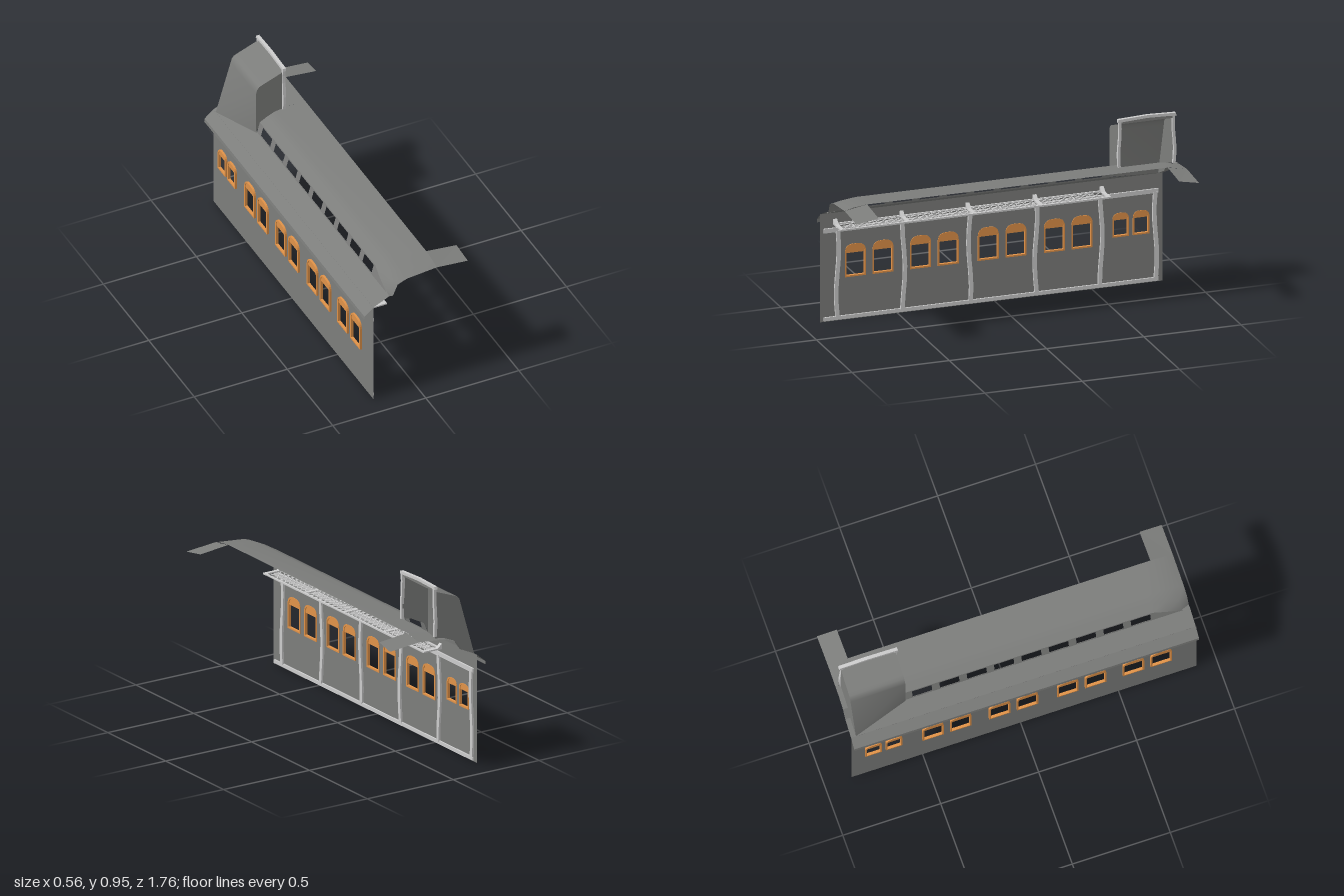
import * as THREE from 'three';
import { mergeVertices } from 'three/addons/utils/BufferGeometryUtils.js';

const trim = new THREE.MeshStandardMaterial({ color: 0xcccccc, side: THREE.DoubleSide });
const panel = new THREE.MeshStandardMaterial({ color: 0x7c7d7b, side: THREE.DoubleSide });
const wood = new THREE.MeshStandardMaterial({ color: 0xe09248, side: THREE.DoubleSide });

// Thin sheet lofted through rows of [x, y, z] points
function sheet(rows, smooth = false) {
  const pos = [];
  for (let i = 0; i + 1 < rows.length; i++) {
    for (let j = 0; j + 1 < rows[i].length; j++) {
      const a = rows[i][j], b = rows[i][j + 1], c = rows[i + 1][j + 1], d = rows[i + 1][j];
      pos.push(...a, ...d, ...b, ...b, ...d, ...c);
    }
  }
  let g = new THREE.BufferGeometry();
  g.setAttribute('position', new THREE.Float32BufferAttribute(pos, 3));
  if (smooth) g = mergeVertices(g);
  g.computeVertexNormals();
  return g;
}
const at = (profile, z) => profile.map(([x, y]) => [x, y, z]);
const poly = (pts) => new THREE.Shape(pts.map(([x, y]) => new THREE.Vector2(x, y)));

// Shape drawn in (z, y), extruded from x toward -x (depth 0 gives a flat sheet)
function sidePanel(shape, x, depth) {
  const g = depth
    ? new THREE.ExtrudeGeometry(shape, { depth, bevelEnabled: false, curveSegments: 6 })
    : new THREE.ShapeGeometry(shape, 6);
  return g.rotateY(-Math.PI / 2).translate(x, 0, 0);
}

// Rounded-top window outline in (z, y)
function arch(z0, z1, y0, y1, Type = THREE.Shape) {
  const s = new Type(), r = (z1 - z0) * 0.42;
  s.moveTo(z0, y0);
  s.lineTo(z1, y0);
  s.lineTo(z1, y1 - r);
  s.quadraticCurveTo(z1, y1, z1 - r, y1);
  s.lineTo(z0 + r, y1);
  s.quadraticCurveTo(z0, y1, z0, y1 - r);
  s.lineTo(z0, y0);
  return s;
}

// Slightly wavy upright in (z, y)
function crooked(zc, y0, y1, w, amp, phase) {
  const left = [], right = [];
  for (let i = 0; i <= 6; i++) {
    const t = i / 6, z = zc + amp * Math.sin(phase + t * 6), y = y0 + (y1 - y0) * t;
    left.push([z - w / 2, y]);
    right.unshift([z + w / 2, y]);
  }
  return poly([...left, ...right]);
}

export function createModel() {
  const model = new THREE.Group();
  const add = (name, geo, mat) => {
    const m = new THREE.Mesh(geo, mat);
    m.name = name;
    model.add(m);
  };
  const bar = (name, x0, x1, y0, y1, z0, z1) =>
    add(name, new THREE.BoxGeometry(x1 - x0, y1 - y0, z1 - z0)
      .translate((x0 + x1) / 2, (y0 + y1) / 2, (z0 + z1) / 2), trim);

  // Side wall with window openings, reaching up to the lower roof
  const windows = [];
  for (const z of [0.645, 0.31, -0.038, -0.378])
    windows.push([z + 0.017, z + 0.125, 0.222, 0.39], [z - 0.125, z - 0.017, 0.222, 0.39]);
  windows.push([-0.69, -0.605, 0.257, 0.38], [-0.795, -0.71, 0.257, 0.38]);
  const wall = poly([[-0.862, 0.006], [0.898, 0.006], [0.898, 0.56], [-0.862, 0.56]]);
  for (const w of windows) wall.holes.push(arch(...w, THREE.Path));
  add('sideWall', sidePanel(wall, -0.231, 0), panel);

  // Window frames with solid arched heads
  for (const [z0, z1, y0, y1] of windows) {
    const frame = arch(z0, z1, y0, y1);
    frame.holes.push(arch(z0 + 0.008, z1 - 0.008, y0 + 0.008, y1 - 0.008, THREE.Path));
    add('windowFrame', sidePanel(frame, -0.228, 0.014), wood);
    const r = (z1 - z0) * 0.42;
    add('windowHead', sidePanel(arch(z0, z1, y1 - r - 0.001, y1), -0.232, 0.006), wood);
  }

  // Wall rails and slightly crooked pillars
  bar('bottomRail', -0.2295, -0.221, 0.012, 0.03, -0.84, 0.88);
  bar('topRail', -0.2295, -0.221, 0.462, 0.484, -0.84, 0.88);
  [0.81, 0.47, 0.13, -0.21, -0.545, -0.825].forEach((z, i) =>
    add('pillar', sidePanel(crooked(z, 0.025, 0.468, 0.02, 0.007, i * 1.9), -0.219, 0.0105), trim));

  // Luggage racks: brackets, rails and lattice
  const bracket = [[-0.24, 0.5], [-0.125, 0.5], [-0.125, 0.507], [-0.205, 0.507], [-0.24, 0.535]];
  for (const z of [0.82, 0.48, 0.14, -0.205, -0.55])
    add('rackBracket', new THREE.ExtrudeGeometry(poly(bracket), { depth: 0.02, bevelEnabled: false })
      .translate(0, 0, z - 0.01), trim);
  for (const x of [-0.225, -0.13])
    bar('rackRail', x - 0.005, x + 0.005, 0.5, 0.507, -0.55, 0.82);
  for (let z = -0.5; z < 0.78; z += 0.0343) {
    for (const s of [1, -1])
      add('rackSlat', new THREE.BoxGeometry(0.13, 0.003, 0.004)
        .rotateY(s * Math.PI / 4).translate(-0.178, 0.5035, z), trim);
  }

  // Upper roof, drooping at both ends
  const full = [[-0.13, 0.657], [-0.09, 0.678], [-0.05, 0.695], [0.11, 0.71]];
  add('upperRoof', sheet([
    at([[-0.125, 0.597], [-0.1, 0.655], [-0.05, 0.675], [0.11, 0.69]], 0.895),
    at([[-0.143, 0.602], [-0.11, 0.66], [-0.05, 0.687], [0.11, 0.702]], 0.85),
    at([[-0.141, 0.637], [-0.1, 0.672], [-0.05, 0.695], [0.11, 0.71]], 0.78),
    at(full, 0.71), at(full, -0.56),
  ], true), panel);
  add('upperRoofRear', sheet([
    at([[0, 0.7], [0.11, 0.71]], -0.56),
    at([[0, 0.7], [0.11, 0.71]], -0.77),
    at([[0, 0.68], [0.11, 0.69]], -0.865),
  ], true), panel);
  for (const [z0, z1] of [[0.78, 0.895], [-0.765, -0.865]])
    add('roofEndWing', sheet([
      at([[0.11, 0.71], [0.272, 0.693]], z0),
      at([[0.11, 0.69], [0.277, 0.675]], z1),
    ]), panel);
  const rearEdge = [[-0.23, 0.56], [-0.145, 0.6], [-0.11, 0.65], [-0.05, 0.675], [0, 0.682]];
  add('rearRoofLip', sheet([at(rearEdge, -0.84), at(rearEdge, -0.865)]), panel);

  // Clerestory wall with a row of small windows
  const clerestory = poly([[-0.56, 0.6], [0.86, 0.6], [0.78, 0.637], [0.71, 0.657], [-0.56, 0.657]]);
  for (let i = 0; i < 9; i++) {
    const z = -0.52 + i * 0.1395;
    clerestory.holes.push(new THREE.Path([[z, 0.607], [z + 0.1, 0.607], [z + 0.1, 0.65], [z, 0.65]]
      .map((p) => new THREE.Vector2(...p))));
  }
  const cl = sidePanel(clerestory, 0, 0), cp = cl.attributes.position;
  for (let i = 0; i < cp.count; i++) cp.setX(i, -0.145 + (cp.getY(i) - 0.6) * 0.27);
  cl.computeVertexNormals();
  add('clerestory', cl, panel);

  // Lower roof and eave, cut back along the dormer's foot
  const eave = [[-0.23, 0.56], [-0.278, 0.52], [-0.28, 0.502]];
  add('lowerRoof', sheet([
    at([[-0.125, 0.597], [-0.145, 0.6], ...eave], 0.895),
    at([[-0.14, 0.602], [-0.145, 0.6], ...eave], 0.85),
    at([[-0.14, 0.602], [-0.145, 0.6], ...eave], -0.56),
    at([[-0.229, 0.561], [-0.23, 0.56], ...eave], -0.865),
  ]), panel);

  // Raised dormer: curved shell, two end walls and the open-side frame
  const top = [[0, 0.921], [-0.115, 0.878], [-0.133, 0.87], [-0.144, 0.856], [-0.15, 0.835]];
  add('dormerShell', sheet([
    at([...top, [-0.23, 0.56]], -0.84),
    at([...top, [-0.15, 0.6]], -0.56),
  ], true), panel);
  add('dormerFrontWall', new THREE.ShapeGeometry(
    poly([...top, [-0.15, 0.6], [-0.125, 0.655], [-0.05, 0.693], [0, 0.7]])).translate(0, 0, -0.56), panel);
  add('dormerRearWall', new THREE.ShapeGeometry(poly([...top, ...rearEdge])).translate(0, 0, -0.84), panel);
  [-0.557, -0.838].forEach((z, i) =>
    add('dormerPost', sidePanel(crooked(z, 0.69, 0.94, 0.013, 0.004, i * 3), 0.005, 0.015), trim));
  const lintel = poly([[-0.85, 0.933], [-0.7, 0.938], [-0.548, 0.93], [-0.55, 0.945], [-0.7, 0.952], [-0.845, 0.947]]);
  add('dormerLintel', sidePanel(lintel, 0.006, 0.017), trim);
  add('dormerFascia', sheet([
    [[0, 0.92, -0.56], [0, 0.92, -0.84]],
    [[0, 0.938, -0.56], [0, 0.938, -0.84]],
  ]), panel);
  return model;
}
